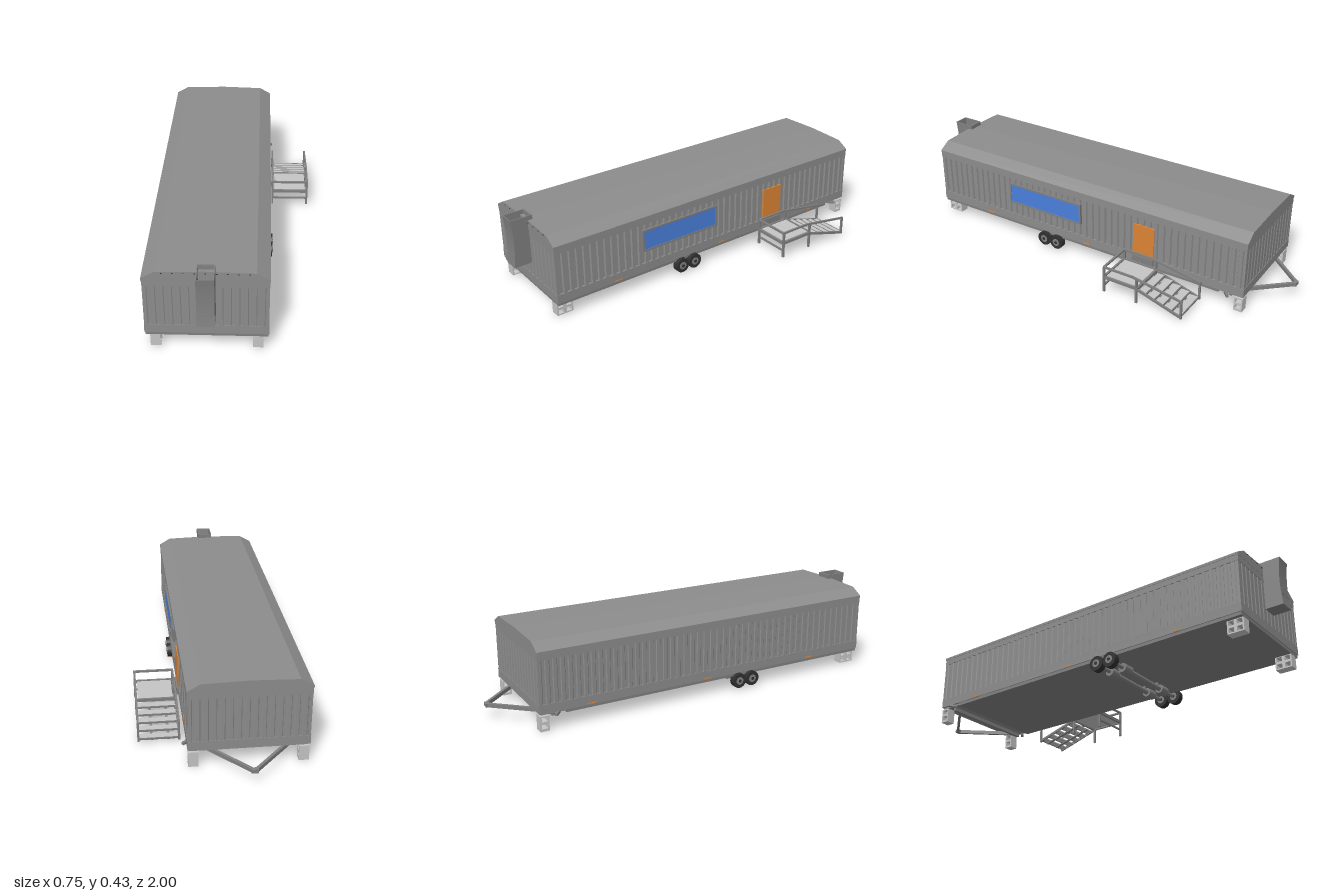
import * as THREE from 'three';

const mat = (name, color, side = THREE.FrontSide) => {
  const m = new THREE.MeshStandardMaterial({ color, side });
  m.name = name;
  return m;
};

export function createModel() {
  const root = new THREE.Group();
  root.name = 'siteTrailer';
  const grey = mat('panel grey', 0x8c8c8c);
  const steel = mat('steel grey', 0x808080);
  const light = mat('light grey', 0xc4c4c4);
  const rubber = mat('tyre black', 0x303030);
  const blue = mat('window blue', 0x4a80dc);
  const orange = mat('door orange', 0xdc8434);

  const add = (name, geo, m, parent = root) => {
    const mesh = new THREE.Mesh(geo, m);
    mesh.name = name;
    parent.add(mesh);
    return mesh;
  };
  // Box given by its limits on each axis
  const box = (name, x0, x1, y0, y1, z0, z1, m, parent = root) => {
    const b = add(name, new THREE.BoxGeometry(x1 - x0, y1 - y0, z1 - z0), m, parent);
    b.position.set((x0 + x1) / 2, (y0 + y1) / 2, (z0 + z1) / 2);
    return b;
  };
  // Square bar between two points
  const bar = (name, p, q, w, h, m, parent = root) => {
    const a = new THREE.Vector3(...p), b = new THREE.Vector3(...q);
    const mesh = add(name, new THREE.BoxGeometry(w, h, a.distanceTo(b)), m, parent);
    mesh.position.copy(a).lerp(b, 0.5);
    mesh.lookAt(b);
    return mesh;
  };
  const rod = (name, x0, x1, y, z, r, m, parent = root, sides = 20) => {
    const c = add(name, new THREE.CylinderGeometry(r, r, x1 - x0, sides), m, parent);
    c.rotation.z = Math.PI / 2;
    c.position.set((x0 + x1) / 2, y, z);
    return c;
  };

  const X0 = -0.358, X1 = 0.168, Z0 = -0.845, Z1 = 0.915, CX = (X0 + X1) / 2;

  // Body core, bands and sill
  box('bodyCore', X0 + 0.009, X1 - 0.009, 0.075, 0.36, Z0 + 0.009, Z1 - 0.009, grey);
  box('upperBand', X0, X1, 0.327, 0.36, Z0, Z1, grey);
  box('lowerBand', X0, X1, 0.083, 0.125, Z0, Z1, grey);
  box('sill', X0 + 0.004, X1 - 0.004, 0.068, 0.084, -0.72, Z1 - 0.004, steel);

  // Corrugated wall panels, standing between the two bands
  const wall = (name, length, depth, pitch, x, z, turn) => {
    const n = Math.round(length / pitch), p = length / n;
    const s = new THREE.Shape();
    s.moveTo(-length / 2, 0.012);
    for (let i = 0; i < n; i++) {
      const u = -length / 2 + i * p;
      s.lineTo(u, 0);
      s.lineTo(u + p * 0.45, 0);
      s.lineTo(u + p * 0.55, depth);
      s.lineTo(u + p * 0.9, depth);
    }
    s.lineTo(length / 2, 0);
    s.lineTo(length / 2, 0.012);
    const g = new THREE.ExtrudeGeometry(s, { depth: 0.204, bevelEnabled: false });
    g.rotateX(-Math.PI / 2);
    const m = add(name, g, grey);
    m.position.set(x, 0.124, z);
    m.rotation.y = turn;
  };
  const L = Z1 - Z0 - 0.002, W = X1 - X0 - 0.002, CZ = (Z0 + Z1) / 2;
  wall('leftWall', L, 0.008, 0.036, X1 - 0.001, CZ, Math.PI / 2);
  wall('rightWall', L, 0.004, 0.036, X0 + 0.001, CZ, -Math.PI / 2);
  wall('frontWall', W, 0.003, 0.036, CX, Z1 - 0.001, 0);
  wall('backWall', W, 0.003, 0.036, CX, Z0 + 0.001, Math.PI);

  // Roof with chamfered eaves and a low crown
  const r = new THREE.Shape();
  [[-0.265, 0.354], [0.265, 0.354], [0.265, 0.366], [0.208, 0.399], [0, 0.405], [-0.208, 0.399], [-0.265, 0.366]]
    .forEach(([x, y], i) => (i ? r.lineTo(x, y) : r.moveTo(x, y)));
  add('roof', new THREE.ExtrudeGeometry(r, { depth: Z1 - Z0 + 0.002, bevelEnabled: false }), grey)
    .position.set(CX, 0, Z0 - 0.001);
  for (let i = 0; i < 9; i++) {
    const x = CX - 0.18 + i * 0.045;
    box('roofRivet', x - 0.003, x + 0.003, 0.392, 0.395, Z1, Z1 + 0.003, rubber);
  }

  // Window and door on the entrance side
  const frame = (name, z0, z1, y0, y1, t) => {
    const g = new THREE.Group();
    g.name = name;
    root.add(g);
    box('frameTop', X1 - 0.008, X1 + 0.005, y1, y1 + t, z0 - t, z1 + t, steel, g);
    box('frameBottom', X1 - 0.008, X1 + 0.005, y0 - t, y0, z0 - t, z1 + t, steel, g);
    for (const [a, b] of [[z0 - t, z0], [z1, z1 + t]]) box('frameSide', X1 - 0.008, X1 + 0.005, y0, y1, a, b, steel, g);
  };
  frame('windowFrame', 0.04, 0.455, 0.198, 0.291, 0.009);
  box('windowPane', X1 - 0.006, X1 + 0.002, 0.198, 0.291, 0.04, 0.455, blue);
  box('door', X1 - 0.006, X1 + 0.003, 0.125, 0.291, -0.381, -0.267, orange);
  box('doorSill', X1 - 0.005, X1 + 0.01, 0.092, 0.125, -0.381, -0.267, steel);

  // Marker lights along both sills
  for (const z of [-0.6, 0, 0.6]) {
    box('markerLight', X1, X1 + 0.002, 0.086, 0.091, z - 0.02, z + 0.02, orange);
    box('markerLight', X0 - 0.002, X0, 0.086, 0.091, z - 0.02, z + 0.02, orange);
  }

  // Open duct on the front wall
  const duct = new THREE.Group();
  duct.name = 'airDuct';
  root.add(duct);
  const outline = new THREE.Shape();
  outline.moveTo(0.9, 0.425);
  outline.lineTo(1.0, 0.425);
  outline.quadraticCurveTo(0.984, 0.34, 0.993, 0.25);
  outline.lineTo(0.997, 0.19);
  outline.lineTo(0.914, 0.19);
  outline.lineTo(0.914, 0.4);
  outline.lineTo(0.9, 0.406);
  for (const x of [-0.13, -0.059]) {
    const g = new THREE.ExtrudeGeometry(outline, { depth: 0.004, bevelEnabled: false });
    g.rotateY(-Math.PI / 2);
    add('ductSide', g, steel, duct).position.x = x + 0.004;
  }
  const face = new THREE.BoxGeometry(0.075, 0.235, 0.004, 1, 12, 1);
  const fp = face.attributes.position;
  for (let i = 0; i < fp.count; i++) {
    const t = (fp.getY(i) + 0.1175) / 0.235;
    fp.setZ(i, fp.getZ(i) - 0.036 * t * (1 - t));
  }
  face.computeVertexNormals();
  add('ductFront', face, steel, duct).position.set(-0.0925, 0.3075, 0.998);
  box('ductBack', -0.13, -0.055, 0.4, 0.425, 0.892, 0.9, steel, duct);
  box('ductLip', -0.13, -0.055, 0.245, 0.25, 0.914, 0.995, steel, duct);
  box('ductBase', -0.13, -0.055, 0.19, 0.194, 0.914, 0.995, steel, duct);

  // Tandem wheels, axles and drums
  for (const z of [0.175, 0.248]) {
    rod('axle', -0.33, 0.14, 0.044, z, 0.009, steel);
    rod('axleTube', -0.22, 0.03, 0.044, z, 0.012, steel);
    for (const s of [-1, 1]) {
      const xd = CX + s * 0.15, xw = CX + s * 0.264;
      rod('brakeDrum', xd - 0.026, xd + 0.026, 0.044, z, 0.022, steel);
      rod('tyre', xw - 0.015, xw + 0.015, 0.046, z, 0.036, rubber, root, 28);
      rod('wheelRim', xw - 0.017, xw + 0.017, 0.046, z, 0.019, steel);
      rod('wheelHub', xw - 0.019, xw + 0.019, 0.046, z, 0.008, rubber, root, 12);
      box('axleHanger', CX + s * 0.105 - 0.004, CX + s * 0.105 + 0.004, 0.046, 0.075, z - 0.008, z + 0.008, steel);
    }
  }

  // Hollow support blocks, stacked two high
  const support = (x, z, len) => {
    const s = new THREE.Shape();
    s.moveTo(0, 0); s.lineTo(len, 0); s.lineTo(len, 0.065); s.lineTo(0, 0.065);
    const cols = len > 0.06 ? 2 : 1, cw = len / cols;
    for (let c = 0; c < cols; c++) for (let k = 0; k < 2; k++) {
      const h = new THREE.Path(), a = c * cw + 0.007, b = (c + 1) * cw - 0.007;
      const y = k * 0.0325 + 0.006, t = y + 0.0205;
      h.moveTo(a, y); h.lineTo(a, t); h.lineTo(b, t); h.lineTo(b, y);
      s.holes.push(h);
    }
    const g = new THREE.ExtrudeGeometry(s, { depth: 0.044, bevelEnabled: false });
    g.rotateY(-Math.PI / 2);
    add('supportBlock', g, light).position.set(x + 0.022, 0.006, z);
  };
  for (const s of [-1, 1]) {
    support(CX + s * 0.218, 0.83, 0.08);
    support(CX + s * 0.238, -0.842, 0.042);
    box('supportFoot', CX + s * 0.238 - 0.022, CX + s * 0.238 + 0.022, 0, 0.006, -0.842, -0.8, light);
    bar('rearBracket', [CX + s * 0.25, 0.075, -0.75], [CX + s * 0.278, 0.075, -0.775], 0.012, 0.012, steel);
    // Tow hitch arm
    bar('hitchArm', [CX + s * 0.205, 0.066, -0.77], [CX + s * 0.004, 0.066, -0.994], 0.013, 0.018, steel);
  }
  box('hitchCoupler', CX - 0.015, CX + 0.015, 0.057, 0.075, -1, -0.982, steel);
  box('hitchCrossbeam', CX - 0.24, CX + 0.24, 0.057, 0.076, -0.78, -0.765, steel);

  // Landing with legs and guard rail
  const stairs = new THREE.Group();
  stairs.name = 'entranceStairs';
  root.add(stairs);
  const A = 0.187, B = 0.368;
  box('landing', A + 0.01, B - 0.01, 0.086, 0.094, -0.402, -0.24, light, stairs);
  for (const x of [A, B]) {
    bar('landingEdge', [x, 0.088, -0.228], [x, 0.088, -0.412], 0.009, 0.014, steel, stairs);
    bar('guardRail', [x, 0.143, -0.228], [x, 0.143, -0.385], 0.009, 0.009, steel, stairs);
    bar('stairRail', [x, 0.143, -0.385], [x, 0.101, -0.637], 0.009, 0.009, steel, stairs);
    bar('stringer', [x, 0.084, -0.41], [x, 0.016, -0.637], 0.008, 0.012, steel, stairs);
    box('railPost', x - 0.0045, x + 0.0045, 0.01, 0.105, -0.642, -0.632, steel, stairs);
    for (const z of [-0.232, -0.405]) {
      box('landingLeg', x - 0.005, x + 0.005, 0.01, z < -0.3 ? 0.14 : 0.145, z - 0.005, z + 0.005, steel, stairs);
    }
  }
  for (const z of [-0.23, -0.41]) box('landingBeam', A, B, 0.081, 0.095, z - 0.005, z + 0.005, steel, stairs);
  box('frontGuardRail', A, B, 0.138, 0.147, -0.235, -0.225, steel, stairs);
  box('frontBrace', A, B, 0.042, 0.05, -0.236, -0.228, steel, stairs);

  // Stair treads
  for (let i = 0; i < 5; i++) {
    const z = -0.418 - i * 0.045, y = 0.078 - i * 0.0135;
    box('tread', A, B, y - 0.005, y, z - 0.036, z, light, stairs);
    box('treadNosing', A, B, y - 0.007, y + 0.001, z - 0.041, z - 0.036, steel, stairs);
  }
  for (const x of [0.234, 0.308]) bar('treadSupport', [x, 0.07, -0.412], [x, 0.012, -0.63], 0.012, 0.006, steel, stairs);

  return root;
}
